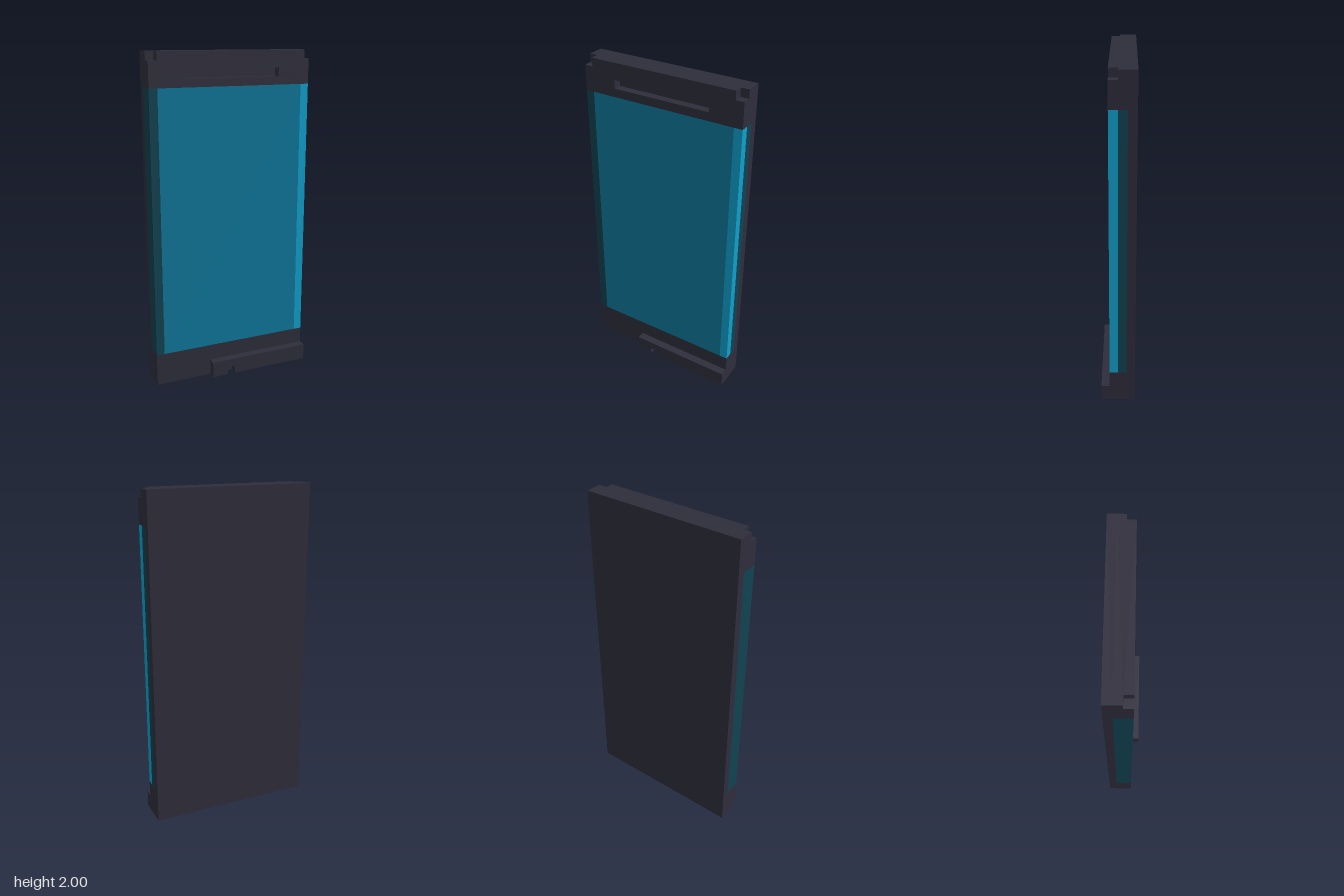
import * as THREE from 'three';

const material = (name, color) => {
  const m = new THREE.MeshStandardMaterial({ color });
  m.name = name;
  return m;
};

export function createModel() {
  const casing = material('dark casing', 0x2e2d3b);
  const glass = material('screen blue', 0x0e769a);
  const bright = material('bright blue edge', 0x0f9fca);
  const shade = material('deep teal edge', 0x114251);

  const model = new THREE.Group();
  model.name = 'handset';

  // Box given by its minimum and maximum on each axis
  const block = (name, mat, [x0, x1], [y0, y1], [z0, z1]) => {
    const mesh = new THREE.Mesh(new THREE.BoxGeometry(x1 - x0, y1 - y0, z1 - z0), mat);
    mesh.position.set((x0 + x1) / 2, (y0 + y1) / 2, (z0 + z1) / 2);
    mesh.name = name;
    model.add(mesh);
  };

  // Flat outline pushed 0.05 forward from z
  const points = (list) => list.map(([x, y]) => new THREE.Vector2(x, y));
  const slab = (name, outline, z, hole) => {
    const shape = new THREE.Shape(points(outline));
    if (hole) shape.holes.push(new THREE.Path(points(hole)));
    const geometry = new THREE.ExtrudeGeometry(shape, { depth: 0.05, bevelEnabled: false });
    const mesh = new THREE.Mesh(geometry, casing);
    mesh.position.z = z;
    mesh.name = name;
    model.add(mesh);
  };

  const wide = [-0.5, 0.5];
  const inner = [-0.45, 0.45];
  const screenY = [0.2, 1.8];

  // Casing behind and around the screen
  block('backPlate', casing, wide, [0, 2], [-0.1, -0.05]);
  block('screenBacking', casing, inner, screenY, [-0.05, 0]);
  block('foreheadBacking', casing, wide, [1.8, 2], [-0.05, 0]);
  block('chin', casing, wide, [0, 0.2], [-0.05, 0.05]);

  // Forehead with notched top corners and a speaker slot
  slab('forehead', [
    [-0.5, 1.8], [0.5, 1.8], [0.5, 1.95], [0.45, 1.95],
    [0.45, 2], [-0.45, 2], [-0.45, 1.95], [-0.5, 1.95],
  ], 0, [[-0.3, 1.85], [-0.3, 1.9], [0.3, 1.9], [0.3, 1.85]]);

  // Ledge along the bottom with a small notch
  slab('bottomLedge', [
    [-0.15, 0], [-0.05, 0], [-0.05, 0.05], [0, 0.05],
    [0, 0], [0.5, 0], [0.5, 0.1], [-0.15, 0.1],
  ], 0.05);

  // Screen and its wrapped side strips
  block('screen', glass, inner, screenY, [0, 0.05]);
  block('brightEdge', bright, [0.45, 0.5], screenY, [0, 0.05]);
  block('leftUnderEdge', shade, [0.45, 0.5], screenY, [-0.05, 0]);
  block('rightEdge', shade, [-0.5, -0.45], screenY, [-0.05, 0.05]);

  return model;
}
